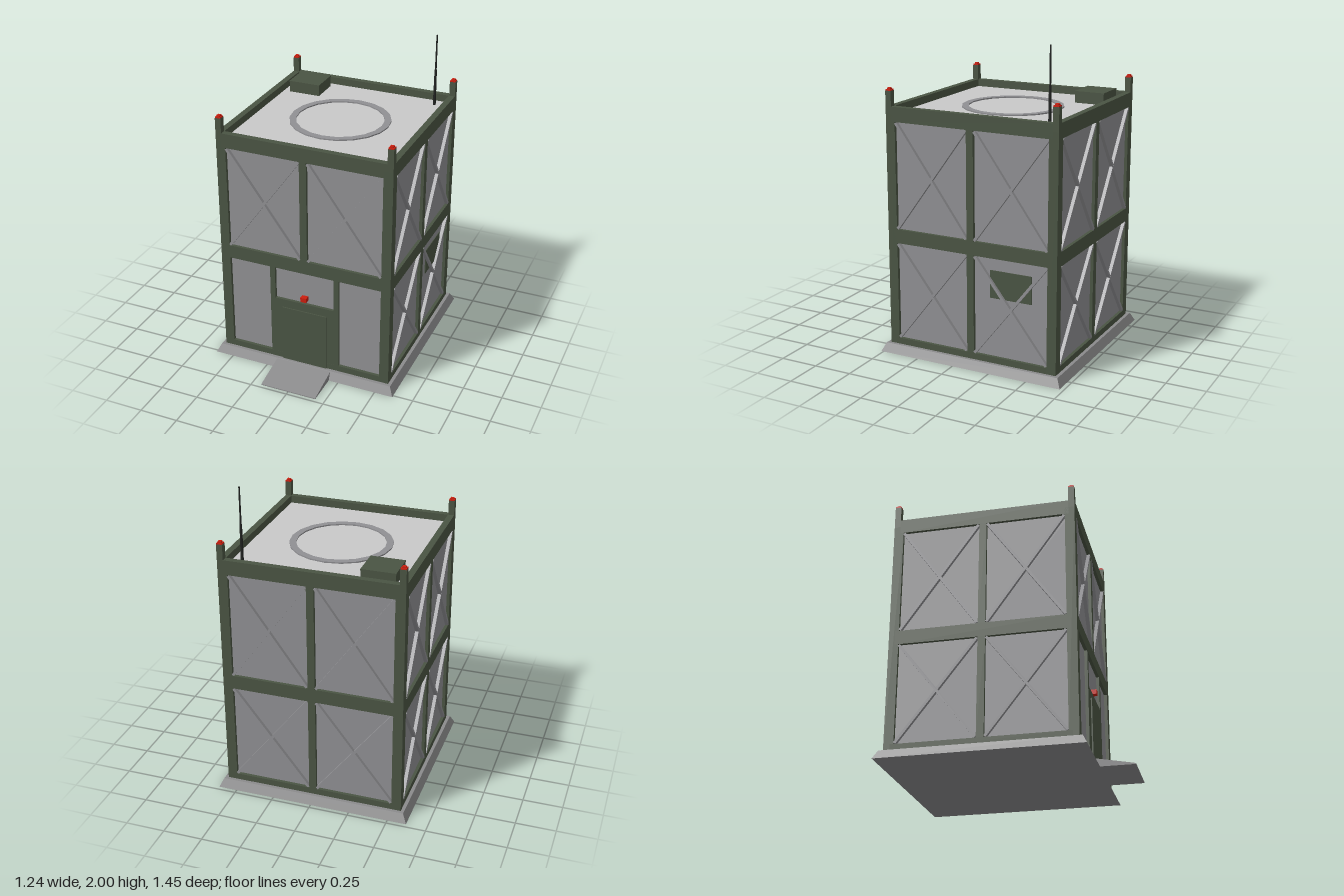
import * as THREE from 'three';

const mat = (name, color) => {
  const m = new THREE.MeshStandardMaterial({ color });
  m.name = name;
  return m;
};

export function createModel() {
  const green = mat('olive frame', 0x4a5443);
  const grey = mat('wall grey', 0x909093);
  const stone = mat('foundation grey', 0x8b8b8c);
  const pale = mat('roof pale grey', 0xc9c9c9);
  const red = mat('signal red', 0xcc1e0e);
  const black = mat('antenna black', 0x222422);

  const model = new THREE.Group();
  model.name = 'outpostTower';
  const tower = new THREE.Group();
  tower.name = 'tower';
  tower.position.z = -0.104;
  model.add(tower);

  const add = (parent, name, geo, material, x = 0, y = 0, z = 0) => {
    const m = new THREE.Mesh(geo, material);
    m.name = name;
    m.position.set(x, y, z);
    parent.add(m);
    return m;
  };
  // Box given by its minimum and maximum on each axis
  const box = (parent, name, material, x0, x1, y0, y1, z0, z1) =>
    add(parent, name, new THREE.BoxGeometry(x1 - x0, y1 - y0, z1 - z0), material,
      (x0 + x1) / 2, (y0 + y1) / 2, (z0 + z1) / 2);

  // Foundation: a box with its top drawn in
  const foundation = new THREE.BoxGeometry(1.24, 0.055, 1.24);
  const p = foundation.attributes.position;
  for (let i = 0; i < p.count; i++) {
    if (p.getY(i) > 0) p.setXYZ(i, p.getX(i) * 0.957, p.getY(i), p.getZ(i) * 0.957);
  }
  foundation.computeVertexNormals();
  add(tower, 'foundation', foundation.toNonIndexed(), stone, 0, 0.0275, 0);

  // Wall core and roof deck
  box(tower, 'wallCore', grey, -0.552, 0.552, 0.05, 1.5, -0.552, 0.552);
  box(tower, 'roofDeck', pale, -0.54, 0.54, 1.5, 1.53, -0.54, 0.54);

  // Flat-faced brace running between two points of a wall
  const brace = (parent, x0, y0, x1, y1, z) => {
    const dx = x1 - x0, dy = y1 - y0;
    const m = add(parent, 'crossBrace', new THREE.BoxGeometry(0.017, Math.hypot(dx, dy), 0.03),
      grey, (x0 + x1) / 2, (y0 + y1) / 2, z);
    m.rotation.z = -Math.atan2(dx, dy);
  };

  // Four walls: front, left, back, right in turn
  const floors = [[0.095, 0.722], [0.81, 1.485]];
  const beams = [[0.05, 0.095], [0.722, 0.81], [1.485, 1.577]];
  for (let side = 0; side < 4; side++) {
    const wall = new THREE.Group();
    wall.name = ['frontWall', 'leftWall', 'backWall', 'rightWall'][side];
    wall.rotation.y = side * Math.PI / 2;
    tower.add(wall);
    for (const [y0, y1] of beams) {
      box(wall, 'beam', green, -0.534, 0.534, y0, y1, 0.532, 0.572);
    }
    floors.forEach(([y0, y1], level) => {
      if (side === 0 && level === 0) return;
      box(wall, 'middlePost', green, -0.023, 0.023, y0, y1, 0.53, 0.572);
      for (const s of [-1, 1]) {
        brace(wall, s * 0.028, y0 + 0.005, s * 0.507, y1 - 0.005, 0.559);
        brace(wall, s * 0.028, y1 - 0.005, s * 0.507, y0 + 0.005, 0.5585);
      }
    });
  }

  // Corner posts with finials and stepped signal lamps
  for (const sx of [-1, 1]) {
    for (const sz of [-1, 1]) {
      add(tower, 'cornerPost', new THREE.BoxGeometry(0.061, 1.48, 0.061), green, sx * 0.5415, 0.79, sz * 0.5415);
      add(tower, 'cornerFinial', new THREE.BoxGeometry(0.038, 0.145, 0.038), green, sx * 0.553, 1.5995, sz * 0.553);
      add(tower, 'cornerLampBase', new THREE.BoxGeometry(0.035, 0.008, 0.035), red, sx * 0.553, 1.676, sz * 0.553);
      add(tower, 'cornerLamp', new THREE.BoxGeometry(0.022, 0.01, 0.022), red, sx * 0.553, 1.684, sz * 0.553);
    }
  }

  // Entrance
  for (const s of [-1, 1]) {
    add(tower, 'doorPost', new THREE.BoxGeometry(0.034, 0.627, 0.04), green, s * 0.216, 0.4085, 0.551);
  }
  box(tower, 'doorFrame', green, -0.2, 0.2, 0.09, 0.5, 0.53, 0.571);
  box(tower, 'door', green, -0.152, 0.152, 0.05, 0.445, 0.565, 0.579);
  box(tower, 'doorLamp', red, -0.02, 0.02, 0.522, 0.552, 0.551, 0.586);

  // Wedge ramp, extruded across the doorway
  const wedge = new THREE.Shape();
  wedge.moveTo(-0.726, 0);
  wedge.lineTo(-0.726, 0.006);
  wedge.lineTo(-0.488, 0.052);
  wedge.lineTo(-0.488, 0);
  wedge.closePath();
  const rampGeo = new THREE.ExtrudeGeometry(wedge, { depth: 0.374, bevelEnabled: false });
  rampGeo.translate(0, 0, -0.187);
  add(model, 'ramp', rampGeo, stone).rotation.y = Math.PI / 2;

  // Vent plate on the +x wall
  box(tower, 'wallVent', green, 0.55, 0.557, 0.468, 0.643, -0.403, -0.126);

  // Roof details: landing ring, hatch and antenna
  const ring = new THREE.Shape();
  const hole = new THREE.Path();
  for (let i = 0; i < 20; i++) {
    const a = i * Math.PI / 10, c = Math.cos(a), s = Math.sin(a);
    ring[i ? 'lineTo' : 'moveTo'](0.32 * c, 0.32 * s);
    hole[i ? 'lineTo' : 'moveTo'](0.278 * c, 0.278 * s);
  }
  ring.holes.push(hole);
  add(tower, 'roofRing', new THREE.ExtrudeGeometry(ring, { depth: 0.008, bevelEnabled: false }),
    grey, 0, 1.53, 0).rotation.x = -Math.PI / 2;
  box(tower, 'roofHatch', green, -0.488, -0.28, 1.53, 1.595, -0.491, -0.297);
  box(tower, 'hatchLid', green, -0.49, -0.278, 1.595, 1.605, -0.493, -0.295);
  add(tower, 'antennaMast', new THREE.CylinderGeometry(0.008, 0.01, 0.24, 8), black, 0.459, 1.65, -0.463);
  add(tower, 'antennaTip', new THREE.CylinderGeometry(0.005, 0.006, 0.23, 8), black, 0.459, 1.885, -0.463);

  return model;
}
